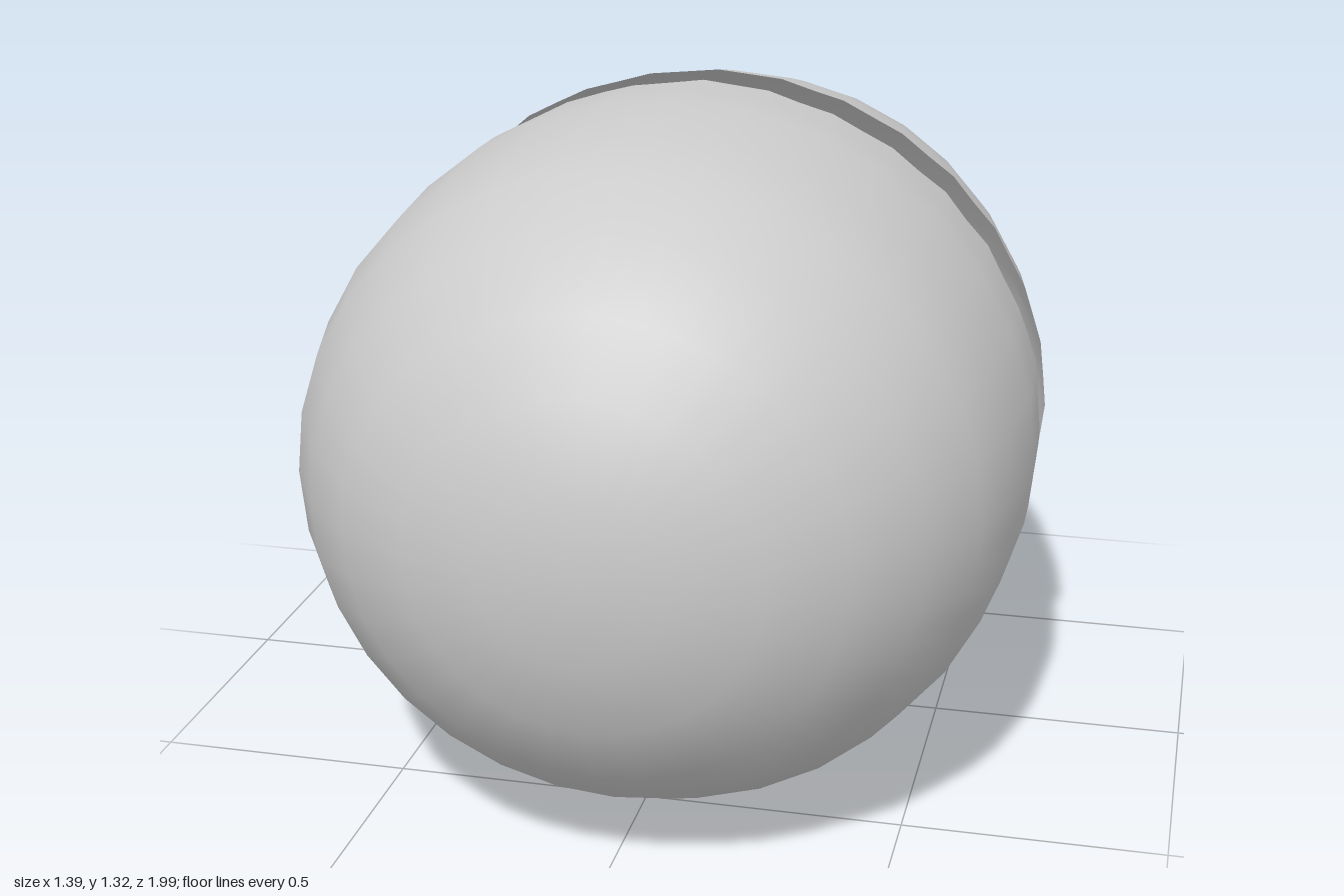
import * as THREE from 'three';

const SIDES = 32, RIM = SIDES * 2; // shell facets, points round the crack
const CENTRE_Y = 0.661, STRETCH_X = 1.055;
const GAP = 0.135; // distance the narrow half is pulled back

// z of the crack, clockwise from the top (x grows towards the model's left)
const crack = [
  0, 0.01, 0.02, 0.035, 0.035, 0.04, 0.04, 0.047, 0.037, 0.053, 0.045, 0.06, 0.065, 0.033, 0.03, 0.05,
  0.05, 0.045, 0.04, 0.058, 0.04, 0.063, 0.045, 0.05, 0.055, 0.065, 0.06, 0.055, 0.05, 0.045, 0.05, 0.04,
  0.045, 0.05, 0.06, 0.05, 0.04, 0.05, 0.065, 0.055, 0.045, 0.06, 0.05, 0.035, 0.05, 0.06, 0.04, 0.045,
  0.03, 0.03, 0.045, 0.06, 0.045, 0.06, 0.045, 0.045, 0.04, 0.04, 0.06, 0.065, 0.05, 0.02, 0.035, 0.02,
];

// [z, radius] from near the crack to the pole
const bluntProfile = [[0.14, 0.66], [0.24, 0.661], [0.447, 0.645], [0.6, 0.607], [0.74, 0.533],
  [0.86, 0.432], [0.94, 0.303], [0.985, 0.16], [0.996, 0]];
const narrowProfile = [[-0.18, 0.636], [-0.26, 0.62], [-0.44, 0.577], [-0.6, 0.51], [-0.746, 0.432],
  [-0.853, 0.339], [-0.935, 0.238], [-0.98, 0.123], [-0.996, 0]];

// Thin open shell: a jagged rim followed by elliptical rings closing at the pole
function shell(name, profile, shift, rimRadius, slope) {
  const pos = [], index = [];
  const addRing = (zAt, rAt) => {
    for (let i = 0; i < RIM; i++) {
      const a = (i / RIM) * Math.PI * 2;
      const flat = i % 2 ? Math.cos(Math.PI / SIDES) : 1; // odd points sit on the facet's chord
      const r = rAt(i) * flat;
      pos.push(Math.sin(a) * r * STRETCH_X, CENTRE_Y + Math.cos(a) * r, zAt(i));
    }
  };
  addRing(i => crack[i] + shift, i => rimRadius + slope * (crack[i] - 0.045));
  const rings = profile.slice(0, -1);
  rings.forEach(([z, r]) => addRing(() => z, () => r));
  const pole = pos.length / 3;
  pos.push(0, CENTRE_Y, profile[profile.length - 1][0]);

  const front = profile[0][0] > 0;
  const tri = (a, b, c) => (front ? index.push(a, b, c) : index.push(a, c, b));
  for (let k = 0; k <= rings.length; k++) {
    for (let i = 0; i < RIM; i++) {
      const j = (i + 1) % RIM;
      const a = k * RIM + i, b = k * RIM + j;
      if (k === rings.length) tri(a, pole, b);
      else {
        tri(a, a + RIM, b);
        tri(b, a + RIM, b + RIM);
      }
    }
  }
  const g = new THREE.BufferGeometry();
  g.setAttribute('position', new THREE.Float32BufferAttribute(pos, 3));
  g.setIndex(index);
  g.computeVertexNormals();
  const mesh = new THREE.Mesh(g, new THREE.MeshStandardMaterial({ color: 0xcccccc, side: THREE.DoubleSide }));
  mesh.name = name;
  return mesh;
}

export function createModel() {
  const egg = new THREE.Group();
  egg.name = 'crackedEgg';
  egg.add(shell('bluntShellHalf', bluntProfile, 0, 0.654, 0.06));
  egg.add(shell('narrowShellHalf', narrowProfile, -GAP, 0.652, 0.15));
  return egg;
}
